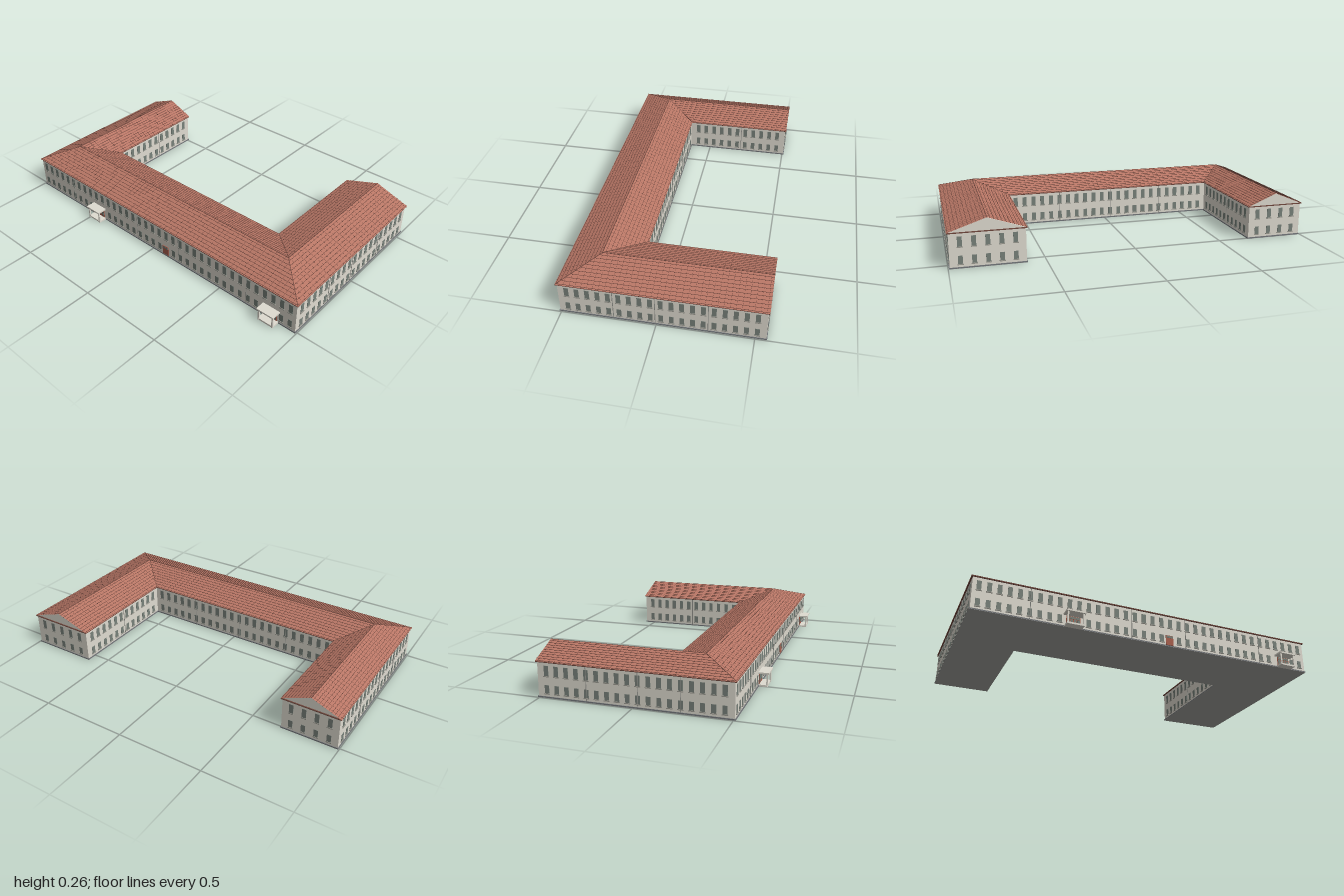
import * as THREE from 'three';
import { mergeGeometries } from 'three/addons/utils/BufferGeometryUtils.js';

const mat = (name, color, extra = {}) => {
  const m = new THREE.MeshStandardMaterial({ color, ...extra });
  m.name = name;
  return m;
};
const V = (x, y, z) => new THREE.Vector3(x, y, z);
const EAVE = 0.19, RIDGE = 0.258;

// Box placed by its centre
function box(w, h, d, x, y, z) {
  return new THREE.BoxGeometry(w, h, d).translate(x, y, z);
}

// Thin strip lying on a slope from p to q
function strip(p, q, normal, w, h) {
  const dir = q.clone().sub(p);
  const len = dir.length();
  dir.normalize();
  const side = dir.clone().cross(normal);
  const m = new THREE.Matrix4().makeBasis(dir, normal, side);
  m.setPosition(p.clone().add(q).multiplyScalar(0.5).addScaledVector(normal, h / 2));
  return new THREE.BoxGeometry(len, h, w).applyMatrix4(m);
}

// U-shaped slab; inset shrinks the plan on every side
function planSlab(inset, y0, y1) {
  const i = inset;
  const pts = [
    [-1 + i, 0.515 - i], [1 - i, 0.515 - i], [1 - i, -0.565 + i], [0.595 + i, -0.565 + i],
    [0.595 + i, 0.125 + i], [-0.665 - i, 0.125 + i], [-0.665 - i, -0.515 + i], [-1 + i, -0.515 + i],
  ];
  const shape = new THREE.Shape(pts.map(([x, z]) => new THREE.Vector2(x, -z)));
  return new THREE.ExtrudeGeometry(shape, { depth: y1 - y0, bevelEnabled: false })
    .rotateX(-Math.PI / 2).translate(0, y0, 0);
}

export function createModel() {
  const model = new THREE.Group();
  const wall = mat('wall plaster', 0xdfdbd0);
  const floor = mat('floor grey', 0xa2a29e);
  const base = mat('plinth grey', 0x73767a);
  const glass = mat('window glass', 0x78817a);
  const sillMat = mat('sill stone', 0x9b9a91);
  const tile = mat('roof tile', 0xb97766, { side: THREE.DoubleSide });
  const tileEdge = mat('tile edge', 0x6e463c);
  const doorMat = mat('door wood', 0xa8604e);
  const pipeMat = mat('drainpipe', 0x93948e);

  const add = (parent, name, geo, material) => {
    const mesh = new THREE.Mesh(Array.isArray(geo) ? mergeGeometries(geo) : geo, material);
    mesh.name = name;
    parent.add(mesh);
  };

  // Body
  add(model, 'walls', planSlab(0.008, 0.006, 0.186), wall);
  add(model, 'plinth', planSlab(0.004, 0.001, 0.007), base);
  add(model, 'floor', planSlab(0.004, 0, 0.001), floor);
  add(model, 'eaves', planSlab(0.001, 0.185, EAVE - 0.0005), tileEdge);

  // Facade with two storeys of windows, sills and drainpipes; local +z points outward
  function facade(name, x, z, turn, count, pitch, pipes = [], gaps = []) {
    const g = new THREE.Group();
    g.name = name;
    g.position.set(x, 0, z);
    g.rotation.y = turn;
    const panes = [], sills = [];
    for (let i = 0; i < count; i++) {
      const u = (i - (count - 1) / 2) * pitch;
      for (const [y0, y1] of [[0.024, 0.067], [0.115, 0.168]]) {
        if (y0 < 0.1 && gaps.some(([c, r]) => Math.abs(u - c) < r)) continue;
        panes.push(box(0.024, y1 - y0, 0.004, u, (y0 + y1) / 2, 0));
        sills.push(box(0.031, 0.005, 0.01, u, y0 - 0.0025, 0));
      }
    }
    add(g, 'windows', panes, glass);
    add(g, 'windowSills', sills, sillMat);
    if (pipes.length) {
      add(g, 'drainpipes', pipes.map((u) =>
        new THREE.CylinderGeometry(0.002, 0.002, 0.18, 6).translate(u, 0.096, 0.002)), pipeMat);
    }
    model.add(g);
  }
  const H = Math.PI / 2;
  facade('frontFacade', 0, 0.507, 0, 37, 0.0532, [-0.69, -0.125, 0.2, 0.68],
    [[-0.458, 0.06], [0.1, 0.034], [0.842, 0.06]]);
  facade('leftWingOuterFacade', 0.992, -0.024, H, 19, 0.054, [-0.246, -0.029, 0.241]);
  facade('rightWingOuterFacade', -0.992, 0, -H, 18, 0.054, [-0.243, 0.027, 0.243]);
  facade('courtyardFacade', -0.035, 0.133, Math.PI, 23, 0.054, [-0.324, 0, 0.324]);
  facade('leftWingInnerFacade', 0.603, -0.212, -H, 12, 0.054, [0]);
  facade('rightWingInnerFacade', -0.673, -0.187, H, 11, 0.054, [0.027]);
  facade('leftWingGableFacade', 0.7975, -0.557, Math.PI, 5, 0.07);
  facade('rightWingGableFacade', -0.8325, -0.507, Math.PI, 4, 0.072);

  // Entrances: wooden frame and door leaves with glass lights, some under a porch
  function entrance(name, x, porch) {
    const g = new THREE.Group();
    g.name = name;
    g.position.set(x, 0, 0.507);
    const w = porch ? 0.076 : 0.044;
    add(g, 'doorFrame', box(w, 0.058, 0.008, 0, 0.038, 0), doorMat);
    const lights = [box(w - 0.006, 0.012, 0.002, 0, 0.058, 0.0045)];
    if (porch) {
      for (const s of [-1, 1]) {
        lights.push(box(0.014, 0.032, 0.002, s * 0.028, 0.033, 0.0045));
        lights.push(box(0.013, 0.022, 0.002, s * 0.009, 0.038, 0.0045));
      }
      add(g, 'canopy', box(0.105, 0.009, 0.057, 0, 0.0745, 0.0285), wall);
      add(g, 'posts', [-1, 1].map((s) => box(0.008, 0.07, 0.008, s * 0.043, 0.035, 0.046)), wall);
      add(g, 'step', box(0.096, 0.01, 0.046, 0, 0.005, 0.025), wall);
    }
    add(g, 'doorLights', lights, glass);
    model.add(g);
  }
  entrance('rightPorch', -0.458, true);
  entrance('middleDoor', 0.1, false);
  entrance('leftPorch', 0.842, true);

  // Gable ends under the roof
  for (const [name, x0, x1, z] of [['leftGable', 0.603, 0.992, -0.557], ['rightGable', -0.992, -0.673, -0.507]]) {
    const tri = new THREE.Shape([
      new THREE.Vector2(x0, EAVE - 0.001), new THREE.Vector2(x1, EAVE - 0.001),
      new THREE.Vector2((x0 + x1) / 2, RIDGE - 0.003)]);
    add(model, name, new THREE.ExtrudeGeometry(tri, { depth: 0.008, bevelEnabled: false }).translate(0, 0, z), wall);
  }

  // Roof corner points: outer eaves, inner eaves, ridges
  const FL = V(-1, EAVE, 0.515), FR = V(1, EAVE, 0.515);
  const IL = V(-0.665, EAVE, 0.125), IR = V(0.595, EAVE, 0.125);
  const BL = V(-1, EAVE, -0.515), BLi = V(-0.665, EAVE, -0.515);
  const BR = V(1, EAVE, -0.565), BRi = V(0.595, EAVE, -0.565);
  const RL = V(-0.8325, RIDGE, 0.32), RR = V(0.7975, RIDGE, 0.32);
  const RLb = V(-0.8325, RIDGE, -0.515), RRb = V(0.7975, RIDGE, -0.565);

  // One slope: eave a-b, ridge d-c, with tile courses and seams running up it
  function slope(name, a, b, c, d) {
    const g = new THREE.Group();
    g.name = name;
    const geo = new THREE.BufferGeometry().setFromPoints([a, b, c, a, c, d]);
    geo.computeVertexNormals();
    add(g, 'tiles', geo, tile);
    const along = b.clone().sub(a).normalize();
    const normal = along.clone().cross(d.clone().sub(a)).normalize();
    const left = (t) => a.clone().lerp(d, t), right = (t) => b.clone().lerp(c, t);
    const lines = [];
    const rows = 10;
    for (let i = 0; i < rows; i++) {
      const t = (i + 0.3) / rows;
      lines.push(strip(left(t), right(t), normal, 0.002, 0.0014));
    }
    // Seams stop where they meet a hip or valley
    const at = (p) => p.clone().sub(a).dot(along);
    const B = at(b), C = at(c), D = at(d);
    const up = d.clone().sub(a).addScaledVector(along, -D);
    for (let u = Math.min(0, D) + 0.015; u < Math.max(B, C); u += 0.03) {
      let t0 = 0, t1 = 1;
      if (D > 0 && u < D) t1 = Math.min(t1, u / D);
      if (D < 0 && u < 0) t0 = Math.max(t0, u / D);
      if (C < B && u > C) t1 = Math.min(t1, (B - u) / (B - C));
      if (C > B && u > B) t0 = Math.max(t0, (u - B) / (C - B));
      if (t1 - t0 < 0.03) continue;
      const p = (t) => a.clone().addScaledVector(along, u).addScaledVector(up, t);
      lines.push(strip(p(t0), p(t1), normal, 0.001, 0.0004));
    }
    add(g, 'tileCourses', lines, tileEdge);
    model.add(g);
  }
  slope('frontRoof', FL, FR, RR, RL);
  slope('courtyardRoof', IR, IL, RL, RR);
  slope('rightWingOuterRoof', BL, FL, RL, RLb);
  slope('rightWingInnerRoof', IL, BLi, RLb, RL);
  slope('leftWingOuterRoof', FR, BR, RRb, RR);
  slope('leftWingInnerRoof', BRi, IR, RR, RRb);

  // Ridge and hip lines
  const up = V(0, 1, 0);
  const caps = [[RL, RR], [RL, RLb], [RR, RRb]].map(([p, q]) => strip(p, q, up, 0.004, 0.0015));
  for (const [p, q] of [[FL, RL], [FR, RR], [IL, RL], [IR, RR]]) {
    const dir = q.clone().sub(p).normalize();
    const n = up.clone().addScaledVector(dir, -dir.y).normalize();
    caps.push(strip(p.clone().lerp(q, 0.01), q, n, 0.003, 0.0015));
  }
  add(model, 'ridgeCaps', caps, tileEdge);

  return model;
}
